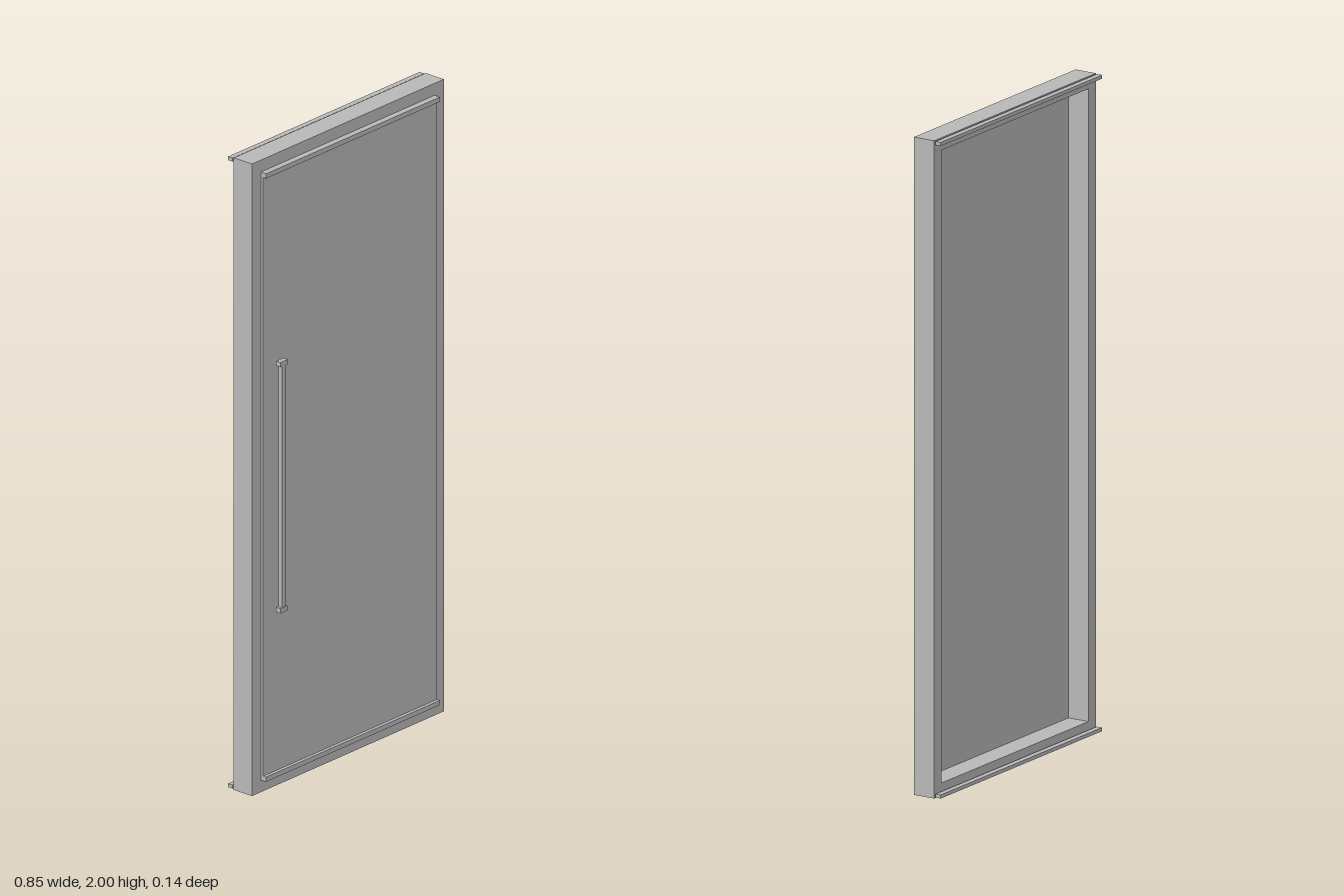
import * as THREE from 'three';

export function createModel() {
  const model = new THREE.Group();
  model.name = 'door';
  const grey = new THREE.MeshStandardMaterial({ color: 0xb8b8b8 });
  grey.name = 'grey metal';

  // Box given by its limits on each axis
  function box(name, [x0, x1], [y0, y1], [z0, z1], parent = model) {
    const mesh = new THREE.Mesh(new THREE.BoxGeometry(x1 - x0, y1 - y0, z1 - z0), grey);
    mesh.position.set((x0 + x1) / 2, (y0 + y1) / 2, (z0 + z1) / 2);
    mesh.name = name;
    parent.add(mesh);
  }

  // Rectangular outline around the door middle
  function outline(path, halfWidth, bottom, top) {
    path.moveTo(-halfWidth, bottom);
    path.lineTo(halfWidth, bottom);
    path.lineTo(halfWidth, top);
    path.lineTo(-halfWidth, top);
    path.closePath();
    return path;
  }

  // Deep frame, open at the back
  const shape = outline(new THREE.Shape(), 0.427, 0, 2);
  shape.holes.push(outline(new THREE.Path(), 0.388, 0.038, 1.962));
  const frameGeometry = new THREE.ExtrudeGeometry(shape, { depth: 0.071, bevelEnabled: false });
  frameGeometry.translate(0, 0, -0.048);
  const frame = new THREE.Mesh(frameGeometry, grey);
  frame.name = 'frame';
  model.add(frame);

  // Thin panel on the front of the frame
  box('panel', [-0.388, 0.386], [0.038, 1.962], [0.022, 0.032]);

  // Lips on the front of the panel
  box('topLip', [-0.388, 0.386], [1.947, 1.962], [0.032, 0.043]);
  box('bottomLip', [-0.388, 0.386], [0.038, 0.053], [0.032, 0.043]);

  // Narrow strips behind the frame
  box('topBackStrip', [-0.427, 0.425], [1.987, 1.998], [-0.07, -0.052]);
  box('bottomBackStrip', [-0.427, 0.425], [0.003, 0.014], [-0.07, -0.052]);

  // Long pull handle with an end cap at each end
  const handle = new THREE.Group();
  handle.name = 'handle';
  model.add(handle);
  box('handleBar', [-0.345, -0.329], [0.58, 1.348], [0.055, 0.067], handle);
  for (const [name, y] of [['bottomCap', 0.567], ['topCap', 1.346]]) {
    box(name, [-0.353, -0.321], [y, y + 0.015], [0.052, 0.069], handle);
  }
  return model;
}
